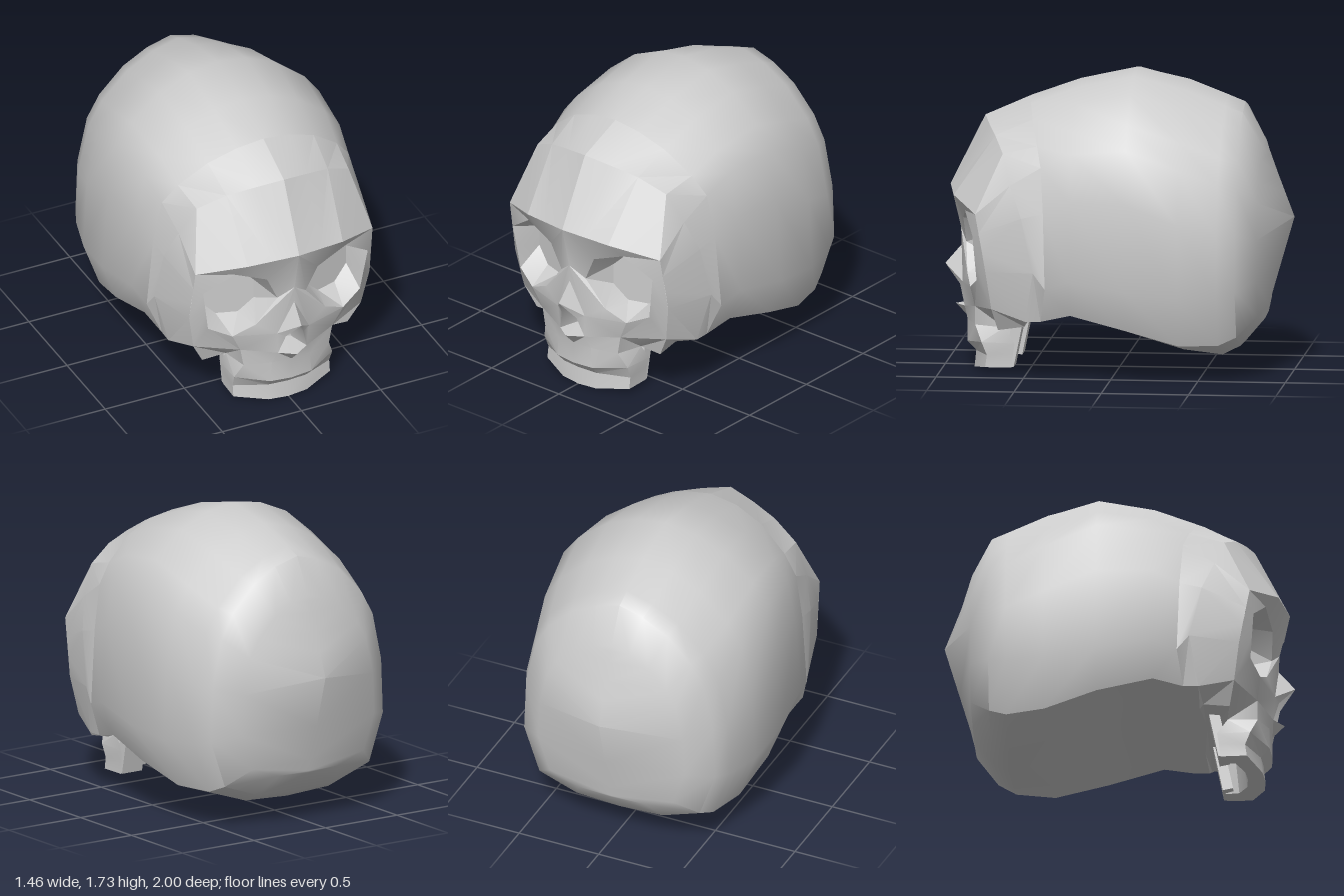
import * as THREE from 'three';
import { toCreasedNormals } from 'three/addons/utils/BufferGeometryUtils.js';

const material = new THREE.MeshStandardMaterial({ color: 0xcccccc, side: THREE.DoubleSide });
const { lerp, clamp, degToRad } = THREE.MathUtils;

// Skins neighbouring rows of points, then mirrors everything across x = 0.
function skin(name, patches, crease) {
  const pos = [];
  const tri = (a, b, c) => {
    const v = [a, b, c].map((p) => new THREE.Vector3(...p));
    const area = v[1].clone().sub(v[0]).cross(v[2].clone().sub(v[0])).length();
    if (area < 1e-6) return;
    pos.push(...a, ...b, ...c);
    for (const p of [a, c, b]) pos.push(-p[0], p[1], p[2]);
  };
  for (const rows of patches) {
    for (let i = 0; i < rows.length - 1; i++) {
      for (let j = 0; j < rows[i].length - 1; j++) {
        const a = rows[i][j], b = rows[i][j + 1], c = rows[i + 1][j + 1], d = rows[i + 1][j];
        tri(a, b, c);
        tri(a, c, d);
      }
    }
  }
  const geometry = new THREE.BufferGeometry();
  geometry.setAttribute('position', new THREE.Float32BufferAttribute(pos, 3));
  const mesh = new THREE.Mesh(toCreasedNormals(geometry, crease), material);
  mesh.name = name;
  return mesh;
}

// Loop on the face surface around one eye, counterclockwise from the brow
const around = [
  [0.30, 1.02, 0.92], [0, 1.04, 0.97], [0, 0.79, 0.91], [0.10, 0.49, 0.89],
  [0.29, 0.38, 0.80], [0.53, 0.40, 0.68], [0.57, 0.62, 0.71], [0.56, 0.95, 0.77],
];
const rim = [
  [0.35, 0.94, 0.85], [0.16, 0.87, 0.88], [0.09, 0.72, 0.87], [0.22, 0.56, 0.85],
  [0.35, 0.50, 0.82], [0.48, 0.56, 0.77], [0.50, 0.69, 0.78], [0.52, 0.82, 0.79],
];
const [brow, browCentre, bridge, noseSide, cheek, cheekSide, temple, browSide] = around;
const cheekLow = [0.46, 0.27, 0.65];
const cheekInner = [0.30, 0.26, 0.63];
const noseTip = [0, 0.58, 1.0];
const noseInner = [0.055, 0.47, 0.91];
const noseCorner = [0.09, 0.35, 0.88];
const noseSpine = [0, 0.35, 0.94];
const close = (loop) => [...loop, loop[0]];

// Forehead and temples in flat facets, then the smooth braincase
function cranium() {
  // Half cross-sections from crown to base: fractions of half width and height
  const middle = [
    [0, 1], [0.25, 0.98], [0.5, 0.925], [0.75, 0.82], [0.88, 0.73],
    [0.95, 0.52], [1, 0.17], [0.88, 0.01], [0.45, 0], [0, 0.03],
  ];
  const rear = [
    [0, 1], [0.25, 0.97], [0.5, 0.91], [0.75, 0.80], [0.88, 0.70],
    [0.98, 0.50], [1, 0.27], [0.84, 0.07], [0.45, 0.01], [0, 0],
  ];
  // z, crown height, base height, half width, backward sweep of the sides
  const stations = [
    [0.50, 1.56, 0.33, 0.67, 0.14], [0.22, 1.66, 0.37, 0.70, 0], [-0.10, 1.73, 0.29, 0.73, 0],
    [-0.40, 1.665, 0.145, 0.705, 0], [-0.62, 1.58, 0.11, 0.645, 0], [-0.72, 1.54, 0.16, 0.60, 0],
    [-0.83, 1.33, 0.29, 0.46, 0],
  ];
  const rings = stations.map(([z, top, base, w, sweep]) => {
    const t = clamp((-z - 0.1) / 0.5, 0, 1);
    return middle.map(([mx, my], i) => {
      const fx = lerp(mx, rear[i][0], t), fy = lerp(my, rear[i][1], t);
      return [fx * w, lerp(base, top, fy), z - sweep * fx * fx];
    });
  });
  // Ridge down the back of the head
  const ridge = [1.33, 1.30, 1.24, 1.13, 1.02, 0.88, 0.58, 0.37, 0.30, 0.29].map((y) =>
    [0, y, -1 + 0.17 * (y > 0.88 ? (y - 0.88) / 0.45 : (0.88 - y) / 0.59)]);
  const browRow = [
    browCentre, [0.15, 1.03, 0.945], brow, browSide, [0.563, 0.84, 0.75],
    [0.567, 0.73, 0.728], temple, cheekSide, cheekLow, [0, 0.28, 0.60],
  ];
  const foreheadRow = [
    [0, 1.44, 0.77], [0.16, 1.41, 0.73], [0.32, 1.37, 0.68], [0.48, 1.29, 0.62], [0.57, 1.12, 0.57],
    [0.63, 0.94, 0.50], [0.655, 0.63, 0.43], [0.59, 0.34, 0.48], [0.45, 0.29, 0.50], [0, 0.32, 0.50],
  ];
  return [
    skin('forehead', [[browRow, foreheadRow, rings[0]]], 0.3),
    skin('braincase', [[...rings, ridge]], 0.72),
  ];
}

// Brow, cheeks and nose bridge
function face() {
  return skin('face', [
    [around, rim].map(close),
    [[bridge, [0, 0.69, 0.905], noseTip], [noseSide, noseSide, noseSide]],
    [[noseTip, noseInner], [noseSide, noseSide]],
    [[noseSide, noseInner], [noseCorner, noseCorner]],
    [[noseSide, noseCorner], [cheek, cheek]],
    [[cheekInner, cheekLow], [cheek, cheekSide]],
  ], 0.5);
}

function eyeSockets() {
  // Flat octagonal floor deep behind the rim
  const floor = rim.map((_, j) => {
    const a = degToRad(67.5 + 45 * j);
    return [0.315 + 0.16 * Math.cos(a), 0.715 + 0.16 * Math.sin(a), 0.67 - 0.05 * Math.cos(a)];
  });
  const centre = floor.map(() => [0.315, 0.715, 0.67]);
  return skin('eyeSockets', [[rim, floor, centre].map(close)], 0.4);
}

function noseOpening() {
  const edge = [noseSpine, noseCorner, noseInner, noseTip];
  const deep = edge.map(([x, y]) => [x * 0.5, 0.40 + (y - 0.40) * 0.75, 0.77]);
  const centre = edge.map(([, y]) => [0, 0.40 + (y - 0.40) * 0.7, 0.75]);
  return skin('noseOpening', [[edge, deep, centre]], 0.3);
}

function upperJaw() {
  // Half rows from the palate, round the tooth row and up to the nose
  return skin('upperJaw', [[
    [[0, 0.25, 0.58], [0.07, 0.25, 0.58], [0.15, 0.26, 0.56], [0.20, 0.26, 0.55]],
    [[0, 0.22, 0.70], [0.08, 0.22, 0.69], [0.17, 0.23, 0.65], [0.21, 0.25, 0.56]],
    [[0, 0.02, 0.73], [0.10, 0.02, 0.72], [0.20, 0.03, 0.67], [0.21, 0.03, 0.59]],
    [[0, 0, 0.83], [0.12, 0.005, 0.82], [0.305, 0.03, 0.74], [0.30, 0.03, 0.59]],
    [[0, 0.10, 0.82], [0.12, 0.10, 0.81], [0.305, 0.10, 0.73], [0.30, 0.11, 0.58]],
    [[0, 0.15, 0.87], [0.13, 0.155, 0.86], [0.31, 0.175, 0.76], [0.31, 0.17, 0.57]],
    [[0, 0.28, 0.87], [0.12, 0.28, 0.86], [0.27, 0.27, 0.80], cheekInner],
    [noseSpine, noseCorner, cheek, cheek],
  ]], 0.4);
}

// Slanted plates behind the tooth row, reaching up to the skull base
function jawPlates() {
  const group = new THREE.Group();
  group.name = 'jawPlates';
  for (const side of [-1, 1]) {
    const plate = new THREE.Mesh(new THREE.BoxGeometry(0.14, 0.32, 0.06), material);
    plate.name = side > 0 ? 'leftJawPlate' : 'rightJawPlate';
    plate.position.set(side * 0.23, 0.195, 0.575);
    plate.rotation.x = -0.2;
    group.add(plate);
  }
  return group;
}

export function createModel() {
  const skull = new THREE.Group();
  skull.name = 'skull';
  skull.add(...cranium(), face(), eyeSockets(), noseOpening(), upperJaw(), jawPlates());
  return skull;
}
